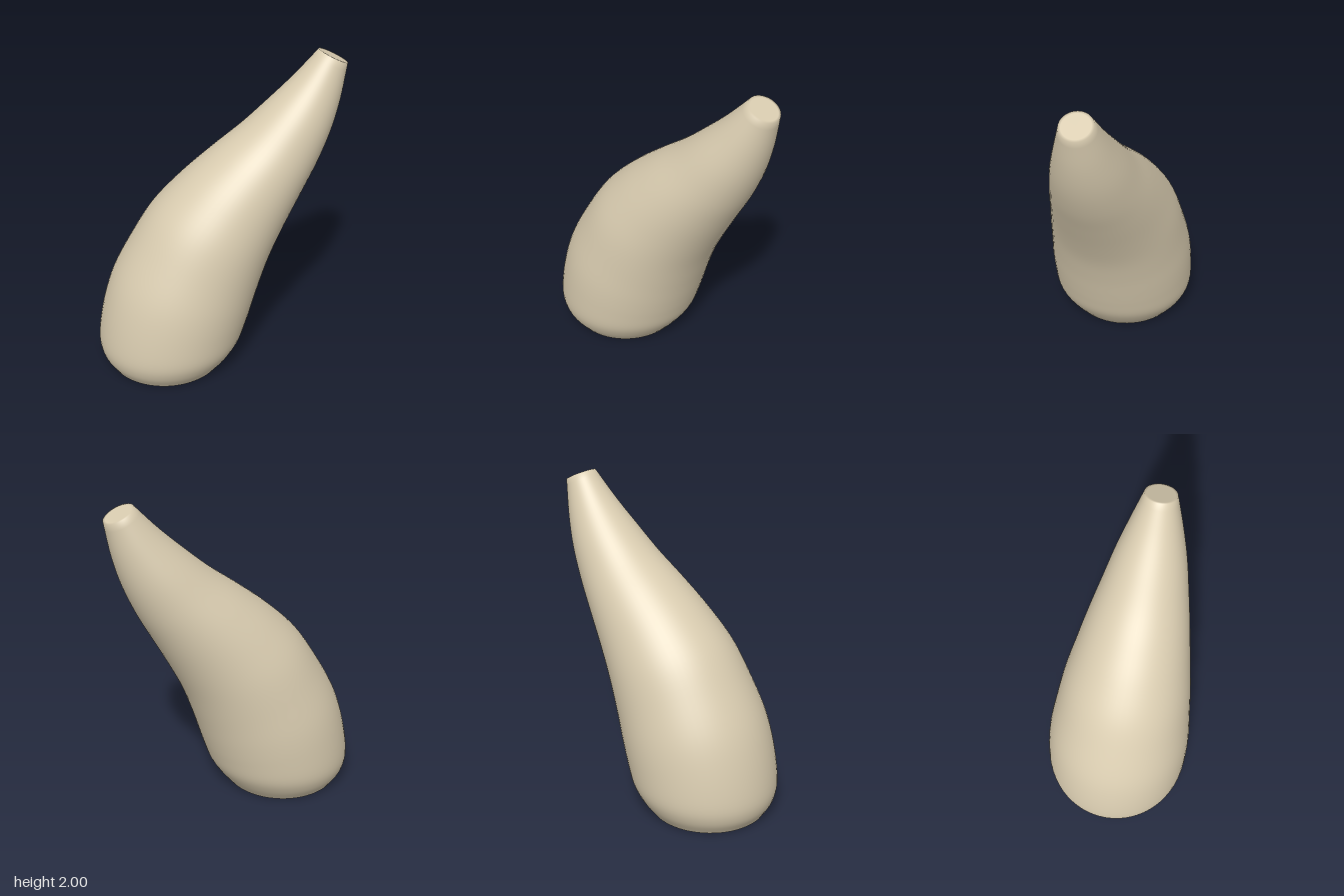
import * as THREE from 'three';

// Opposite outline points of each tilted round section, base to tip: left x, y, right x, y
const SECTIONS = [
  [-0.73, 0, 0, 0],
  [-0.78, 0.09, 0.07, 0.09],
  [-0.79, 0.21, 0.125, 0.18],
  [-0.75, 0.43, 0.165, 0.29],
  [-0.68, 0.64, 0.2, 0.4],
  [-0.56, 0.86, 0.25, 0.56],
  [-0.42, 1.07, 0.315, 0.74],
  [-0.24, 1.25, 0.4, 0.92],
  [-0.05, 1.405, 0.51, 1.13],
  [0.14, 1.55, 0.61, 1.32],
  [0.3, 1.69, 0.69, 1.51],
  [0.46, 1.84, 0.745, 1.7],
  [0.61, 2, 0.785, 1.915],
];
const RINGS = 60;
const SIDES = 64;

function outline(k) {
  const points = SECTIONS.map((s) => new THREE.Vector3(s[k], s[k + 1], 0));
  return new THREE.CatmullRomCurve3(points, false, 'catmullrom', 0.5);
}

function hornGeometry() {
  const left = outline(0);
  const right = outline(2);
  const positions = [];
  const index = [];

  // One round section spanning the two outlines, optionally shrunk
  const addRing = (t, scale = 1) => {
    const a = left.getPoint(t);
    const b = right.getPoint(t);
    const centre = a.clone().add(b).multiplyScalar(0.5);
    const half = b.sub(a).multiplyScalar(0.5 * scale);
    const r = half.length();
    for (let j = 0; j < SIDES; j++) {
      const angle = (j / SIDES) * Math.PI * 2;
      const c = Math.cos(angle);
      positions.push(centre.x + half.x * c, centre.y + half.y * c, r * Math.sin(angle));
    }
  };

  for (let i = 0; i <= RINGS; i++) addRing(i / RINGS);
  // Closed tip: an inset ring keeps the rim softly shaded, then a tiny centre ring
  addRing(1, 0.84);
  addRing(1, 0.001);

  for (let i = 0; i < RINGS + 2; i++) {
    for (let j = 0; j < SIDES; j++) {
      const k = (j + 1) % SIDES;
      const a = i * SIDES + j;
      const b = i * SIDES + k;
      index.push(a, a + SIDES, b, b, a + SIDES, b + SIDES);
    }
  }

  const geometry = new THREE.BufferGeometry();
  geometry.setAttribute('position', new THREE.Float32BufferAttribute(positions, 3));
  geometry.setIndex(index);
  geometry.computeVertexNormals();
  return geometry;
}

export function createModel() {
  const group = new THREE.Group();
  group.name = 'horn';
  // Hollow shell, open underneath
  const material = new THREE.MeshStandardMaterial({ color: 0xd9ccb0, side: THREE.DoubleSide });
  const shell = new THREE.Mesh(hornGeometry(), material);
  shell.name = 'hornShell';
  group.add(shell);
  return group;
}
